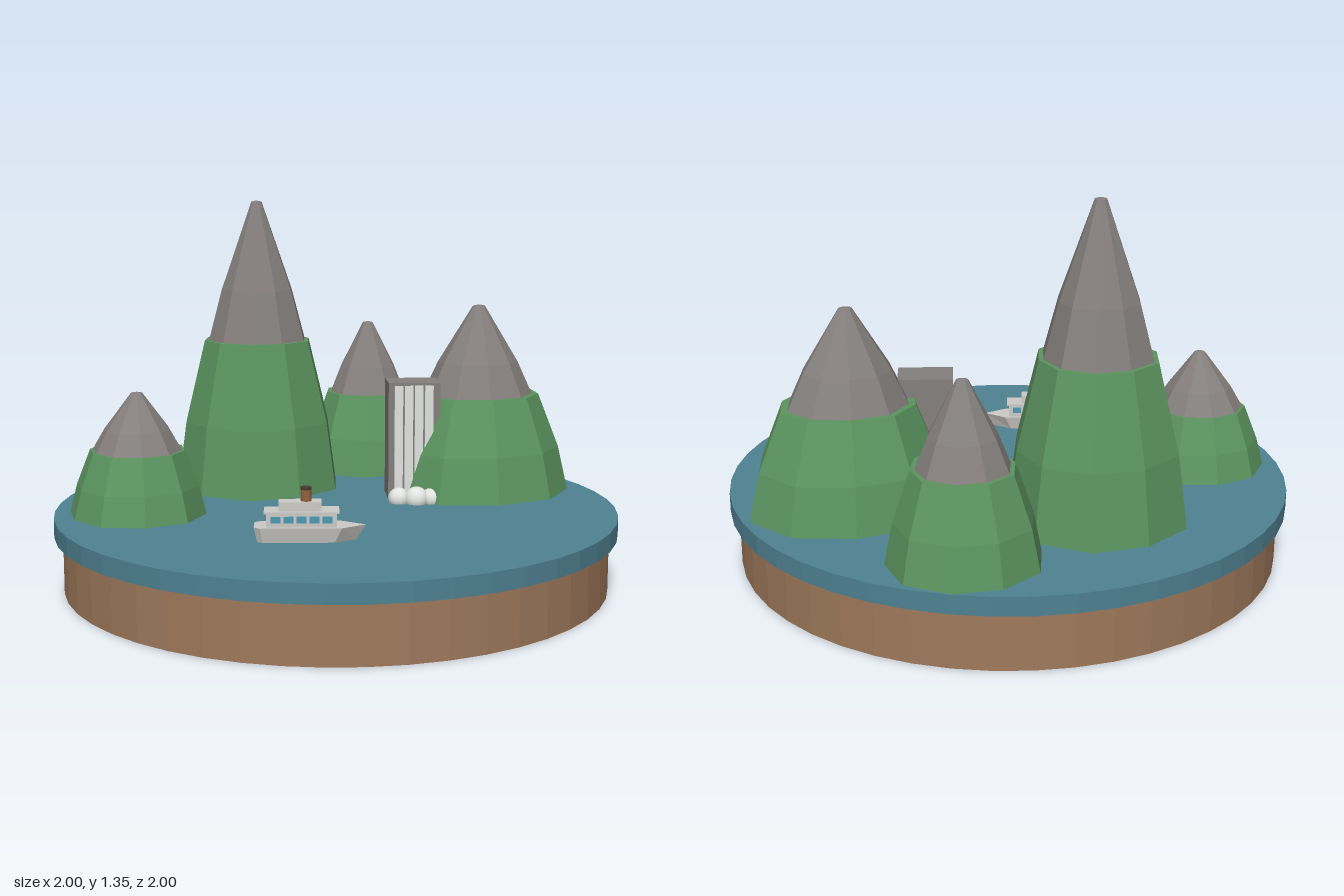
import * as THREE from 'three';

const mat = (name, color) => {
  const m = new THREE.MeshStandardMaterial({ color });
  m.name = name;
  return m;
};

export function createModel() {
  const model = new THREE.Group();
  model.name = 'islandBay';
  const M = {
    earth: mat('earthBrown', 0xa07a5c),
    water: mat('waterBlue', 0x4f8292),
    green: mat('forestGreen', 0x5c9560),
    rock: mat('rockGrey', 0x85807d),
    foam: mat('foamWhite', 0xe2e4e2),
    hull: mat('shipGrey', 0xcdccc8),
    glass: mat('windowBlue', 0x4f9ab4),
    funnel: mat('funnelBrown', 0x94603c),
    dark: mat('darkTrim', 0x4a3a30),
  };
  const WATER = 0.265;

  const add = (parent, name, geo, material, x = 0, y = 0, z = 0) => {
    const g = geo.index ? geo.toNonIndexed() : geo;
    g.computeVertexNormals();
    const mesh = new THREE.Mesh(g, material);
    mesh.name = name;
    mesh.position.set(x, y, z);
    parent.add(mesh);
    return mesh;
  };

  // Round base and water disc
  add(model, 'earthBase', new THREE.CylinderGeometry(0.97, 0.97, 0.2, 48), M.earth, 0, 0.1, 0);
  add(model, 'waterDisc', new THREE.CylinderGeometry(1, 1, 0.065, 48), M.water, 0, 0.2325, 0);

  // Faceted ring stack with slightly uneven sides; points are [radius, height]
  const faceted = (points, seed) => {
    const g = new THREE.LatheGeometry(points.map(([r, y]) => new THREE.Vector2(r, y)), 10, 0.2 + seed);
    const p = g.attributes.position;
    for (let i = 0; i < p.count; i++) {
      const side = Math.floor(i / points.length) % 10;
      const k = 1 + 0.025 * Math.sin(side * 2.3 + seed * 5);
      p.setX(i, p.getX(i) * k);
      p.setZ(i, p.getZ(i) * k);
    }
    return g;
  };

  // Mountains: forested skirt with a ledge, and a bare rock peak
  const mountains = [
    { name: 'tallMountain', x: -0.148, z: -0.46, r: 0.315, tree: 0.825, top: 1.35, lip: 0.65, peak: 0.6 },
    { name: 'leftMountain', x: -0.69, z: -0.14, r: 0.245, tree: 0.49, top: 0.695, lip: 0.69, peak: 0.65 },
    { name: 'backMountain', x: 0.377, z: -0.64, r: 0.258, tree: 0.575, top: 0.86, lip: 0.66, peak: 0.6 },
    { name: 'rightMountain', x: 0.605, z: -0.088, r: 0.312, tree: 0.63, top: 0.965, lip: 0.66, peak: 0.59, sx: 1.16 },
  ];
  mountains.forEach((m, i) => {
    const g = new THREE.Group();
    g.name = m.name;
    g.position.set(m.x, 0, m.z);
    g.scale.x = m.sx ?? 1;
    const midY = WATER + (m.tree - WATER) * 0.45;
    const rockH = m.top - m.tree;
    add(g, 'forestSkirt', faceted([
      [m.r, WATER], [m.r * 0.89, midY], [m.r * m.lip, m.tree], [m.r * m.peak * 0.9, m.tree],
    ], i * 0.3), M.green);
    add(g, 'rockPeak', faceted([
      [m.r * m.peak * 1.02, m.tree - 0.02], [m.r * m.peak, m.tree],
      [m.r * m.peak * 0.73, m.tree + rockH * 0.36], [0.02, m.top - 0.004], [0, m.top],
    ], i * 0.3), M.rock);
    model.add(g);
  });

  // Waterfall: rock block, falling streams and foam
  const fall = new THREE.Group();
  fall.name = 'waterfall';
  fall.position.set(0.325, 0, -0.062);
  fall.rotation.y = -0.3;
  const cliffH = 0.695 - WATER;
  add(fall, 'cliffBlock', new THREE.BoxGeometry(0.19, cliffH, 0.14), M.rock, 0, WATER + cliffH / 2, 0);
  for (let i = 0; i < 4; i++) {
    add(fall, 'waterStream', new THREE.BoxGeometry(0.031, cliffH - 0.01, 0.008), M.foam,
      -0.058 + i * 0.037, WATER + cliffH / 2 - 0.005, 0.074);
  }
  model.add(fall);
  [[0.228, 0.043, 0.04], [0.285, 0.072, 0.045], [0.34, 0.085, 0.04]].forEach(([x, z, r]) => {
    const ball = new THREE.Mesh(new THREE.SphereGeometry(r, 14, 10), M.foam);
    ball.name = 'foamBall';
    ball.position.set(x, 0.28, z);
    model.add(ball);
  });

  // Ship, bow towards local +x
  const ship = new THREE.Group();
  ship.name = 'ship';
  ship.position.set(-0.255, WATER, 0.434);
  ship.rotation.y = -0.34;
  const outline = (s, e, w) => new THREE.Shape([
    [s, -w * 0.7], [s + 0.02, -w], [e - 0.08, -w], [e, 0], [e - 0.08, w], [s + 0.02, w], [s, w * 0.7],
  ].map(([x, y]) => new THREE.Vector2(x, y)));
  const hull = new THREE.ExtrudeGeometry(outline(-0.18, 0.185, 0.052), { depth: 0.05, bevelEnabled: false });
  hull.rotateX(-Math.PI / 2);
  const p = hull.attributes.position;
  for (let i = 0; i < p.count; i++) {
    if (p.getY(i) < 0.01) {
      p.setX(i, p.getX(i) * 0.88 - 0.01);
      p.setZ(i, p.getZ(i) * 0.8);
    }
  }
  add(ship, 'hull', hull, M.hull);
  add(ship, 'lowerCabin', new THREE.BoxGeometry(0.23, 0.045, 0.078), M.hull, -0.025, 0.0725, 0);
  add(ship, 'cabinRoof', new THREE.BoxGeometry(0.245, 0.006, 0.086), M.hull, -0.025, 0.098, 0);
  add(ship, 'upperCabin', new THREE.BoxGeometry(0.14, 0.03, 0.055), M.hull, -0.03, 0.115, 0);
  for (const side of [-1, 1]) {
    for (let i = 0; i < 5; i++) {
      add(ship, 'window', new THREE.BoxGeometry(0.032, 0.022, 0.004), M.glass,
        -0.109 + i * 0.042, 0.075, side * 0.04);
    }
  }
  add(ship, 'funnel', new THREE.CylinderGeometry(0.016, 0.018, 0.042, 12), M.funnel, -0.01, 0.151, 0);
  add(ship, 'funnelCap', new THREE.CylinderGeometry(0.018, 0.018, 0.008, 12), M.dark, -0.01, 0.172, 0);
  model.add(ship);

  return model;
}
